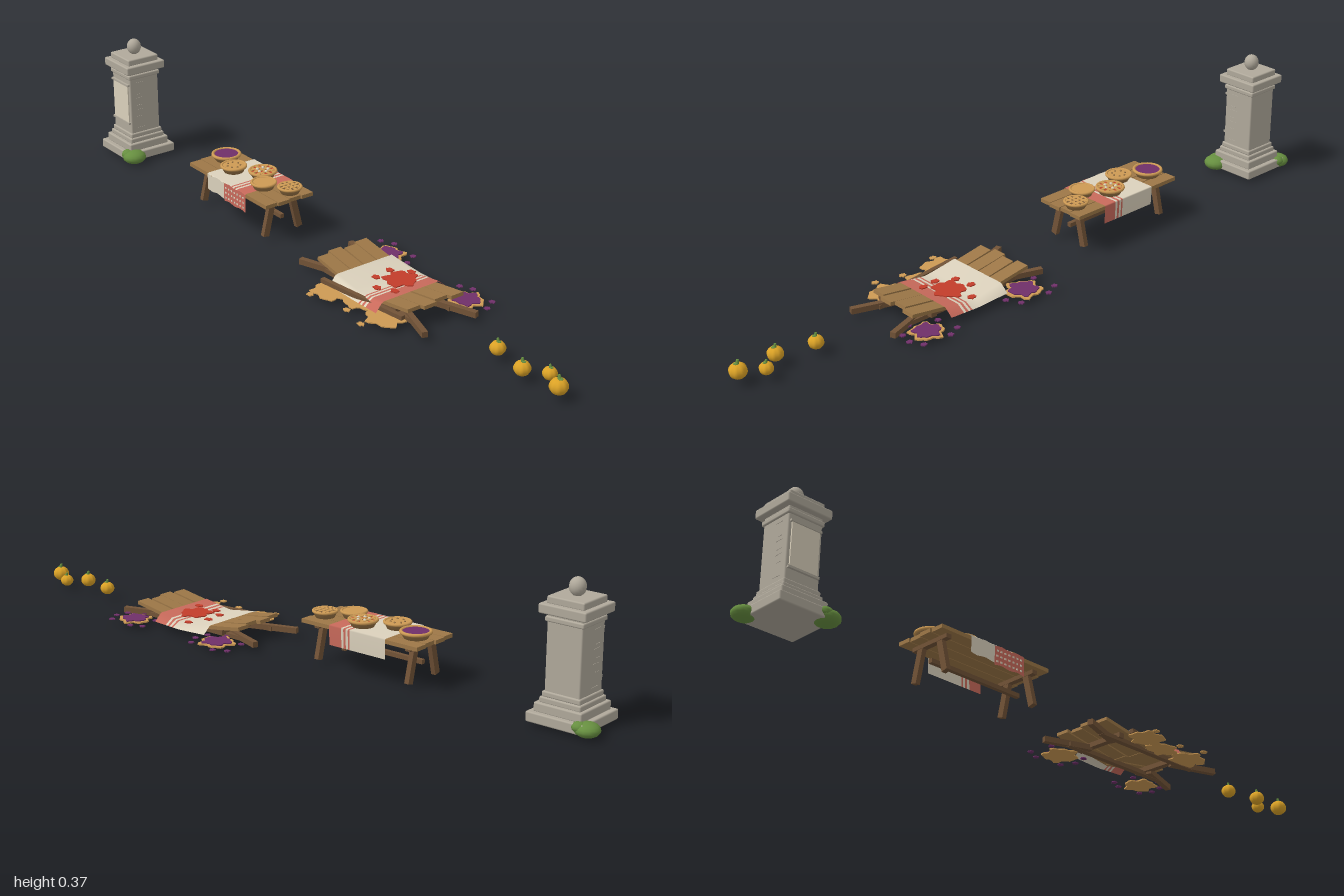
import * as THREE from 'three';
import { RoundedBoxGeometry } from 'three/addons/geometries/RoundedBoxGeometry.js';

const mat = (name, color, double) => {
  const m = new THREE.MeshStandardMaterial({ color });
  m.name = name;
  if (double) m.side = THREE.DoubleSide;
  return m;
};
const stone = mat('stone', 0xb0a99b), moss = mat('leaf green', 0x678f40);
const plank = mat('plank wood', 0x9d7747), dark = mat('dark wood', 0x725337);
const cream = mat('cream cloth', 0xdbd1bc, true), faded = mat('faded red cloth', 0xc96a5b, true);
const red = mat('jam red', 0xc23c2a), crust = mat('crust', 0xcd9a54);
const purple = mat('berry purple', 0x6f3069), gold = mat('pumpkin', 0xdba226);

function add(parent, name, geo, m, x = 0, y = 0, z = 0) {
  const mesh = new THREE.Mesh(geo, m);
  mesh.name = name;
  mesh.position.set(x, y, z);
  parent.add(mesh);
  return mesh;
}
const group = (parent, name, x = 0, y = 0, z = 0) => {
  const g = new THREE.Group();
  g.name = name;
  g.position.set(x, y, z);
  parent.add(g);
  return g;
};
const box = (p, name, m, w, h, d, x, y, z) => add(p, name, new THREE.BoxGeometry(w, h, d), m, x, y, z);

// Straight bar from a to b; w is its horizontal and h its upright thickness
function beam(p, name, m, a, b, w, h) {
  const A = new THREE.Vector3(...a), B = new THREE.Vector3(...b);
  const mid = A.clone().add(B).multiplyScalar(0.5);
  const mesh = new THREE.Mesh(new THREE.BoxGeometry(w, h, A.distanceTo(B)), m);
  mesh.name = name;
  mesh.position.copy(mid);
  mesh.lookAt(B);
  p.add(mesh);
}

// Flat irregular puddle
function splat(p, name, m, x, y, z, rx, rz, seed, t = 0.003) {
  const pts = [];
  for (let i = 0; i < 28; i++) {
    const a = i / 28 * Math.PI * 2;
    const r = 0.84 + 0.1 * Math.sin(5 * a + seed) + 0.09 * Math.sin(8 * a + seed * 2.3);
    pts.push(new THREE.Vector2(Math.cos(a) * r * rx, Math.sin(a) * r * rz));
  }
  const geo = new THREE.ExtrudeGeometry(new THREE.Shape(pts), { depth: t, bevelEnabled: false });
  geo.rotateX(-Math.PI / 2);
  add(p, name, geo, m, x, y, z);
}

// Cloth strip between x0 and x1 following [z, y, k] points, raised by k * sag(x)
function cloth(p, name, m, x0, x1, path, sag = () => 0) {
  const nx = 8, geo = new THREE.PlaneGeometry(1, 1, nx, path.length - 1), pos = geo.attributes.position;
  for (let i = 0; i < pos.count; i++) {
    const x = x0 + (x1 - x0) * (i % (nx + 1)) / nx, [z, y, k = 1] = path[Math.floor(i / (nx + 1))];
    pos.setXYZ(i, x, y + k * sag(x), z);
  }
  geo.computeVertexNormals();
  add(p, name, geo, m);
}
const columns = [[0, 0.63, cream], [0.63, 0.66, faded], [0.66, 0.7, cream], [0.7, 0.74, faded], [0.74, 0.78, cream], [0.78, 1, faded]];
function stripedCloth(p, x0, x1, path, sag) {
  const at = f => x0 + (x1 - x0) * f;
  columns.forEach(([a, b, m]) => cloth(p, 'clothStrip', m, at(a), at(b), path, sag));
}

function pie(parent, x, y, z, r, filling, lattice) {
  const g = group(parent, 'pie', x, y, z);
  const V = (a, b) => new THREE.Vector2(a * r, b);
  add(g, 'pieSide', new THREE.LatheGeometry([V(0, 0), V(0.72, 0), V(0.95, 0.017)], 20), plank);
  const rim = add(g, 'crustRim', new THREE.TorusGeometry(r * 0.89, r * 0.11, 8, 24), crust, 0, 0.017, 0);
  rim.rotation.x = Math.PI / 2;
  add(g, 'filling', new THREE.CylinderGeometry(r * 0.84, r * 0.8, 0.006, 24), filling, 0, 0.0155, 0);
  if (lattice) for (const k of [-0.4, 0, 0.4]) {
    const len = 2 * r * Math.sqrt(0.7 - k * k);
    box(g, 'lattice', lattice, len, 0.002, r * 0.2, 0, 0.0193, k * r);
    box(g, 'lattice', lattice, r * 0.2, 0.002, len, k * r, 0.0198, 0);
  }
  return g;
}
// Ring of small toppings on a pie
function toppings(g, m, n, ring, size) {
  for (let i = 0; i < n; i++) {
    const a = i / n * Math.PI * 2;
    add(g, 'topping', new THREE.SphereGeometry(size, 10, 6), m, Math.cos(a) * ring, 0.019, Math.sin(a) * ring);
  }
}

function pillar(root) {
  const g = group(root, 'pillar', -0.887, 0, 0.008);
  // [width, bottom, top] of each stone course
  [[0.163, 0, 0.027], [0.136, 0.025, 0.05], [0.118, 0.048, 0.064], [0.109, 0.063, 0.078], [0.1, 0.07, 0.26],
    [0.109, 0.253, 0.267], [0.1, 0.264, 0.277], [0.133, 0.274, 0.299], [0.105, 0.297, 0.317]].forEach(([w, a, b]) =>
    add(g, 'stoneCourse', new RoundedBoxGeometry(w, b - a, w, 2, 0.004), stone, 0, (a + b) / 2, 0));
  add(g, 'finial', new THREE.SphereGeometry(0.0215, 18, 12), stone, 0, 0.338, 0).scale.y = 1.13;
  // Inscription panel with a frame
  box(g, 'panel', cream, 0.082, 0.12, 0.006, 0, 0.172, 0.051);
  box(g, 'panelLedge', stone, 0.092, 0.006, 0.014, 0, 0.234, 0.05);
  box(g, 'panelLedge', stone, 0.092, 0.006, 0.014, 0, 0.11, 0.05);
  // Chipped joints on both sides
  [[0.24, 0.029], [0.202, 0.018], [0.19, 0.026], [0.166, 0.018], [0.152, 0.026], [0.13, 0.016], [0.093, 0.028]].forEach(([y, w]) => {
    for (const s of [-1, 1]) box(g, 'joint', stone, 0.002, 0.0015, w, s * 0.05, y, 0.03 - w / 2);
  });
  // Moss at two opposite corners
  for (const [x, z, r] of [[-0.08, -0.058, 0.033], [0.072, 0.059, 0.036]]) {
    const c = group(g, 'moss', x, 0.012, z);
    add(c, 'mossClump', new THREE.SphereGeometry(r, 14, 10), moss).scale.y = 0.58;
    add(c, 'mossClump', new THREE.SphereGeometry(r * 0.6, 10, 8), moss, -x * 0.2, 0.006, z * 0.2).scale.y = 0.7;
  }
}

function feastTable(root) {
  const g = group(root, 'feastTable', -0.282, 0, 0.007);
  for (let i = 0; i < 4; i++) box(g, 'plank', plank, 0.385 - (i % 2) * 0.008, 0.011, 0.038, 0, 0.11, -0.0605 + i * 0.0403);
  for (const x of [-0.152, 0.152]) {
    box(g, 'crossBeam', dark, 0.016, 0.012, 0.13, x, 0.099, 0);
    for (const s of [-1, 1]) beam(g, 'leg', dark, [x, 0.103, s * 0.034], [x, 0.004, s * 0.058], 0.014, 0.019);
  }
  beam(g, 'stretcher', dark, [-0.155, 0.05, 0], [0.155, 0.05, 0], 0.012, 0.012);
  // Runner with a chequered front drop
  stripedCloth(g, -0.092, 0.095, [[-0.08, 0.062], [-0.0825, 0.115], [-0.08, 0.118], [0.08, 0.118], [0.083, 0.115]]);
  cloth(g, 'frontDrop', cream, -0.092, -0.01, [[0.083, 0.116], [0.083, 0.068]], x => 0.002 * Math.sin(x * 110));
  cloth(g, 'frontDrop', faded, -0.01, 0.095, [[0.083, 0.116], [0.083, 0.062]], x => 0.002 * Math.sin(x * 110));
  for (let i = 0; i < 7; i++) for (let j = 0; j < 3; j++)
    box(g, 'check', cream, 0.006, 0.005, 0.001, i * 0.014, 0.073 + j * 0.015, 0.0835);
  pie(g, -0.142, 0.117, -0.017, 0.044, purple);
  toppings(pie(g, -0.057, 0.118, 0.016, 0.039, crust), plank, 7, 0.019, 0.003);
  toppings(pie(g, 0.023, 0.118, -0.029, 0.042, red, crust), cream, 5, 0.016, 0.005);
  pie(g, 0.09, 0.118, 0.016, 0.038, crust);
  pie(g, 0.155, 0.116, -0.027, 0.036, dark, crust);
}

function brokenTable(root) {
  const g = group(root, 'brokenTable', 0.003);
  // Snapped planks sagging to the middle
  for (let i = 0; i < 4; i++) {
    const z = -0.073 + i * 0.045, j = (i % 2) * 0.012;
    beam(g, 'brokenPlank', plank, [0.12 + j, 0.045, z], [0.325 - j, 0.014, z], 0.041, 0.01);
    beam(g, 'brokenPlank', plank, [0.315 - j, 0.014, z], [0.517 - j, 0.045, z], 0.041, 0.01);
  }
  for (const x of [0.2, 0.44]) box(g, 'crossBeam', dark, 0.018, 0.014, 0.16, x, 0.018, -0.005);
  // Splayed legs and fallen rail
  for (const s of [-1, 1]) {
    beam(g, 'fallenLeg', dark, [0.062, 0.012, s * 0.087], [0.2, 0.012, s * 0.04], 0.016, 0.016);
    beam(g, 'fallenLeg', dark, [0.578, 0.012, s * 0.087], [0.44, 0.012, s * 0.04], 0.016, 0.016);
    beam(g, 'groundRail', dark, [0.13, 0.009, s * 0.06], [0.51, 0.009, s * 0.06], 0.016, 0.012);
  }
  beam(g, 'fallenRail', dark, [0.195, 0.017, 0.115], [0.485, 0.017, 0.08], 0.013, 0.012);
  // Runner draped over the wreck with spilled jam
  const sag = x => Math.abs(x - 0.32) * 0.152;
  stripedCloth(g, 0.222, 0.415, [[-0.125, 0.011, 0.3], [-0.1, 0.022], [0.085, 0.022], [0.094, 0.018], [0.112, 0.009, 0.1]], sag);
  splat(g, 'jamSplat', red, 0.343, 0.033, -0.03, 0.05, 0.052, 1);
  [[0.288, 0.008], [0.332, 0.04], [0.316, -0.09], [0.28, -0.045], [0.385, 0.025]].forEach(([x, z], i) =>
    splat(g, 'jamDrop', red, x, 0.0235 + sag(x), z, 0.014, 0.011, i));
  // Spilled pastry in front
  [[0.245, 0.128, 0.062, 0.05], [0.33, 0.105, 0.06, 0.04], [0.44, 0.105, 0.065, 0.052]].forEach(([x, z, a, b], i) =>
    splat(g, 'pastrySpill', crust, x, 0.005, z, a, b, i * 2));
  [[0.225, 0.178], [0.43, 0.173], [0.35, 0.155]].forEach(([x, z], i) =>
    splat(g, 'pastryCrumb', crust, x, 0.005, z, 0.012, 0.01, i));
  // Burst berry pies behind
  for (const [x, z, r] of [[0.168, -0.128, 0.058], [0.497, -0.125, 0.053]]) {
    splat(g, 'burstCrust', crust, x, 0.005, z, r, r * 0.96, x * 9 + 1, 0.004);
    splat(g, 'berryFilling', purple, x, 0.009, z, r * 0.8, r * 0.77, x * 9 + 1, 0.003);
    [[-1.3, -0.7], [-0.65, -1], [0.9, -0.85], [-1.1, 0.5], [1.1, 0.5], [0.3, 1.05], [1.25, -0.2]].forEach(([a, b], i) =>
      splat(g, 'berryDrop', purple, x + a * r, 0.006, z + b * r, 0.01, 0.009, i));
  }
}

function pumpkin(root, x, z, r) {
  const g = group(root, 'pumpkin', x, 0.005 + r * 0.9, z);
  const geo = new THREE.SphereGeometry(r, 32, 14), pos = geo.attributes.position;
  for (let i = 0; i < pos.count; i++) {
    const X = pos.getX(i), Y = pos.getY(i), Z = pos.getZ(i), h = Math.hypot(X, Z);
    const k = 0.97 + 0.03 * Math.cos(8 * Math.atan2(Z, X));
    pos.setXYZ(i, X * k, Y * 0.9 - 0.12 * r * Math.exp(-h * h / (r * r * 0.06)) * Math.sign(Y), Z * k);
  }
  geo.computeVertexNormals();
  add(g, 'pumpkinBody', geo, gold);
  add(g, 'stem', new THREE.CylinderGeometry(r * 0.14, r * 0.22, r * 0.55, 8), moss, 0, r, 0).rotation.z = 0.25;
  add(g, 'leaf', new THREE.SphereGeometry(r * 0.28, 8, 6), moss, r * 0.2, r * 0.88, 0).scale.y = 0.3;
}

export function createModel() {
  const root = new THREE.Group();
  root.name = 'festivalProps';
  pillar(root);
  feastTable(root);
  brokenTable(root);
  [[0.753, 0.002, 0.021], [0.861, 0.023, 0.022], [0.915, -0.016, 0.019], [0.976, 0.015, 0.024]].forEach(p => pumpkin(root, ...p));
  return root;
}
